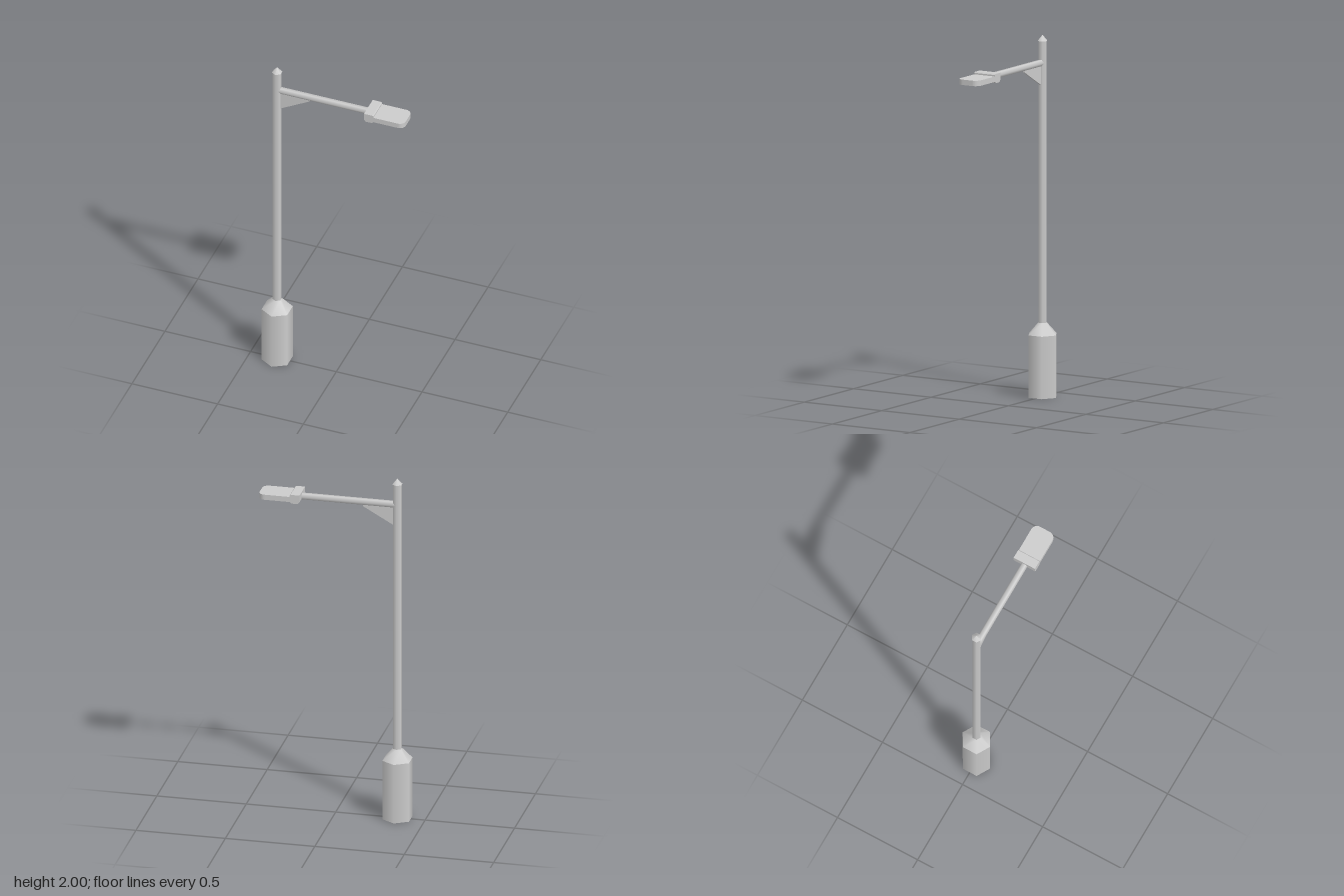
import * as THREE from 'three';

const POLE_X = -0.345;
const ARM_Y = 1.847;

export function createModel() {
  const group = new THREE.Group();
  const material = new THREE.MeshStandardMaterial({ color: 0xcccccc });

  const add = (name, geometry, x = 0, y = 0, z = 0) => {
    const mesh = new THREE.Mesh(geometry, material);
    mesh.name = name;
    mesh.position.set(x, y, z);
    group.add(mesh);
    return mesh;
  };

  // Six-sided upright section between two heights
  const hex = (name, rBottom, rTop, y0, y1, open = false) =>
    add(name, new THREE.CylinderGeometry(rTop, rBottom, y1 - y0, 6, 1, open), POLE_X, (y0 + y1) / 2);

  // Outline in x/y, extruded symmetrically across z
  const sideProfile = (points, width) => {
    const shape = new THREE.Shape(points.map(([x, y]) => new THREE.Vector2(x, y)));
    return new THREE.ExtrudeGeometry(shape, { depth: width, bevelEnabled: false }).translate(0, 0, -width / 2);
  };

  // Base and post
  hex('base', 0.086, 0.086, 0, 0.345);
  hex('baseShoulder', 0.086, 0.026, 0.345, 0.41, true);
  hex('post', 0.025, 0.025, 0.4, 1.97);
  hex('postCap', 0.029, 0, 1.967, 2);

  // Horizontal arm
  const armStart = -0.335, armEnd = 0.195;
  const arm = new THREE.CylinderGeometry(0.019, 0.019, armEnd - armStart, 6).rotateZ(-Math.PI / 2);
  add('arm', arm, (armStart + armEnd) / 2, ARM_Y);

  // Thin triangular gusset under the arm
  add('armBracket', sideProfile([[-0.328, 1.723], [-0.155, 1.82], [-0.155, 1.836], [-0.328, 1.836]], 0.01));

  // Lamp mount, chamfered along its lower edges
  add('lampMount', sideProfile([
    [0.187, 1.836], [0.196, 1.824], [0.233, 1.824], [0.242, 1.834],
    [0.242, 1.87], [0.237, 1.875], [0.187, 1.875],
  ], 0.133));

  // Lamp head outline in x/z, with rounded outer corners
  const headOutline = (Type, x0, x1, halfWidth, r) => {
    const s = new Type();
    s.moveTo(x0, -halfWidth);
    s.lineTo(x1 - r, -halfWidth);
    s.absarc(x1 - r, -halfWidth + r, r, -Math.PI / 2, 0);
    s.lineTo(x1, halfWidth - r);
    s.absarc(x1 - r, halfWidth - r, r, 0, Math.PI / 2);
    s.lineTo(x0, halfWidth);
    s.closePath();
    return s;
  };
  const slab = (shape, height) => new THREE.ExtrudeGeometry(shape, {
    depth: height, bevelEnabled: false, curveSegments: 6,
  }).rotateX(-Math.PI / 2);

  // Solid upper shell, with a rim leaving a recessed light panel underneath
  add('lampShell', slab(headOutline(THREE.Shape, 0.24, 0.418, 0.066, 0.035), 0.016), 0, 1.846);
  const rim = headOutline(THREE.Shape, 0.24, 0.418, 0.066, 0.035);
  rim.holes.push(headOutline(THREE.Path, 0.255, 0.406, 0.054, 0.025));
  add('lampRim', slab(rim, 0.014), 0, 1.832);

  return group;
}
